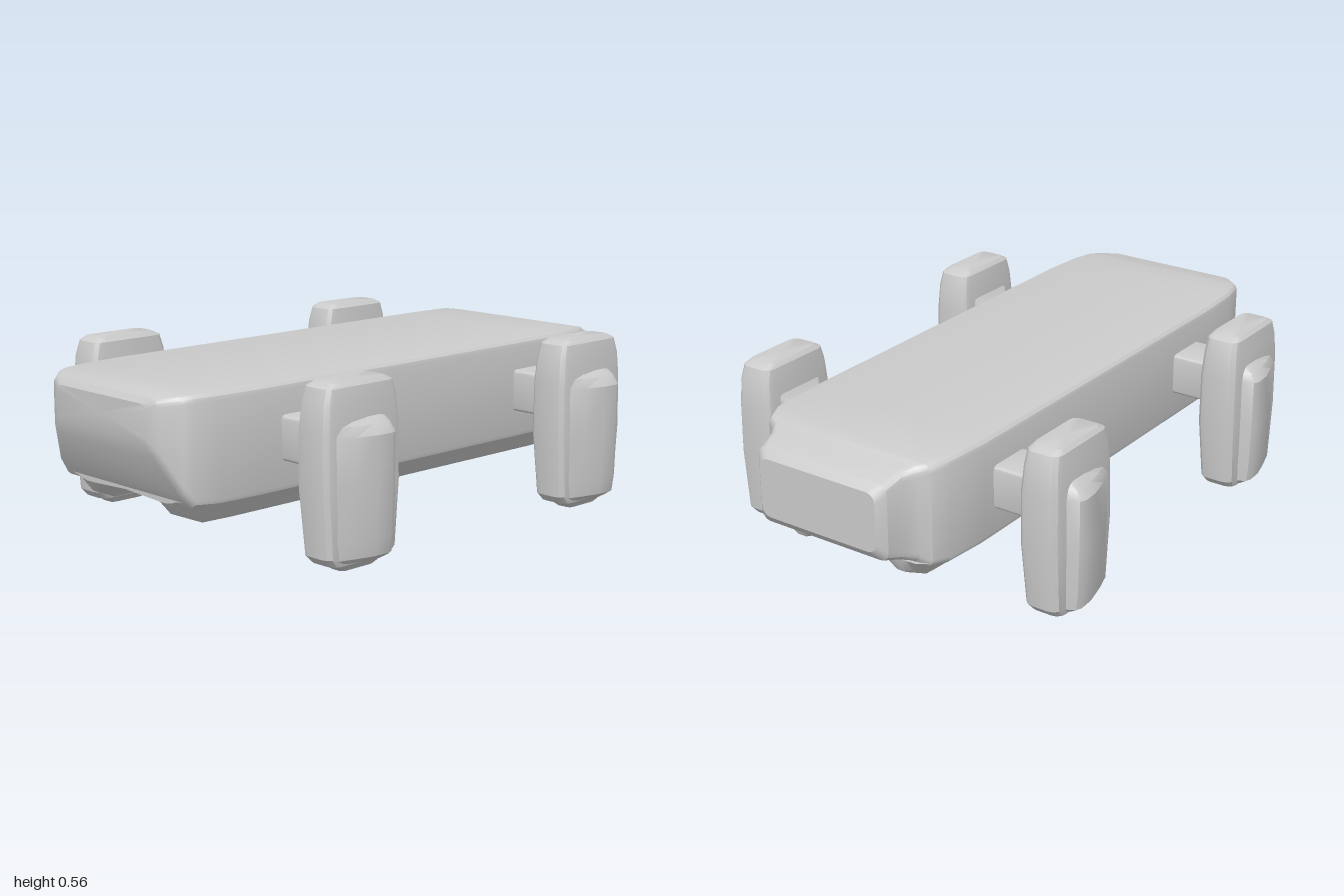
import * as THREE from 'three';
import { toCreasedNormals } from 'three/addons/utils/BufferGeometryUtils.js';

const material = new THREE.MeshStandardMaterial({ color: 0xcccccc });

// Rounded rectangle outline as [u, v] points
function roundRect(u0, u1, v0, v1, r, n = 3) {
  const pts = [];
  const corners = [[u1 - r, v1 - r], [u0 + r, v1 - r], [u0 + r, v0 + r], [u1 - r, v0 + r]];
  corners.forEach(([cu, cv], k) => {
    for (let i = 0; i <= n; i++) {
      const a = (k + i / n) * Math.PI / 2;
      pts.push([cu + r * Math.cos(a), cv + r * Math.sin(a)]);
    }
  });
  return pts;
}

// Closed skin through rings of equal point count, faces turned outward
function loft(name, rings, crease = 0.5) {
  const tris = [];
  const n = rings[0].length;
  for (let k = 0; k + 1 < rings.length; k++) {
    for (let i = 0; i < n; i++) {
      const j = (i + 1) % n;
      const a = rings[k][i], b = rings[k][j], c = rings[k + 1][j], d = rings[k + 1][i];
      tris.push([a, b, c], [a, c, d]);
    }
  }
  const cap = (ring, flip) => {
    const mid = ring.reduce((s, p) => s.add(p), new THREE.Vector3()).divideScalar(n);
    ring.forEach((p, i) => {
      const q = ring[(i + 1) % n];
      tris.push(flip ? [mid, q, p] : [mid, p, q]);
    });
  };
  cap(rings[0], true);
  cap(rings[rings.length - 1], false);
  const cross = new THREE.Vector3();
  const volume = tris.reduce((s, [a, b, c]) => s + a.dot(cross.crossVectors(b, c)), 0);
  if (volume < 0) tris.forEach((t) => t.reverse());
  const geo = new THREE.BufferGeometry().setFromPoints(tris.flat());
  const mesh = new THREE.Mesh(toCreasedNormals(geo, crease), material);
  mesh.name = name;
  return mesh;
}

const V = (x, y, z) => new THREE.Vector3(x, y, z);

// Main hull: rounded sections along z [z, half width, bottom, top, radius]
function hull() {
  const sections = [
    [1.0, 0.215, 0.39, 0.5, 0.02],
    [0.985, 0.25, 0.345, 0.518, 0.025],
    [0.935, 0.3, 0.235, 0.526, 0.025],
    [0.905, 0.315, 0.195, 0.529, 0.025],
    [0.83, 0.33, 0.19, 0.53, 0.025],
    [0.68, 0.34, 0.19, 0.53, 0.025],
    [-0.65, 0.34, 0.19, 0.53, 0.025],
    [-0.8, 0.328, 0.19, 0.53, 0.025],
    [-0.855, 0.305, 0.195, 0.522, 0.025],
    [-0.875, 0.275, 0.21, 0.515, 0.03],
    [-0.915, 0.25, 0.225, 0.508, 0.03],
    [-0.975, 0.24, 0.245, 0.488, 0.03],
    [-1.0, 0.215, 0.275, 0.465, 0.03],
  ];
  return loft('hull', sections.map(([z, w, y0, y1, r]) =>
    roundRect(-w, w, y0, y1, r).map(([x, y]) => V(x, y, z))));
}

// Underside with two lengthwise runners
function underside() {
  const half = [[0.33, 0.205], [0.29, 0.18], [0.265, 0.145], [0.235, 0.122], [0.2, 0.122],
    [0.16, 0.157], [0.12, 0.174], [0.05, 0.18]];
  const profile = [...half, ...half.map(([x, y]) => [-x, y]).reverse()];
  // [z, width factor, depth factor]
  const sections = [[0.915, 0.82, 0.2], [0.885, 0.87, 0.65], [0.81, 0.97, 1], [0.7, 1, 1],
    [-0.65, 1, 1], [-0.79, 0.97, 1], [-0.86, 0.88, 0.65], [-0.885, 0.8, 0.1]];
  return loft('undersideRunners', sections.map(([z, w, d]) =>
    profile.map(([x, y]) => V(x * w, 0.21 + (y - 0.21) * d, z))), 0.6);
}

// One wheel pod: side is +1 left or -1 right
function wheelPod(side, zc) {
  const group = new THREE.Group();

  // Axle flaring into the hub: [x, half height, half depth]
  const axle = [[0.3, 0.07, 0.08], [0.455, 0.07, 0.08], [0.47, 0.085, 0.09], [0.49, 0.12, 0.11]];
  group.add(loft('axle', axle.map(([x, h, d]) =>
    roundRect(0.36 - h, 0.36 + h, -d, d, 0.015).map(([y, z]) => V(side * x, y, z)))));

  // Upright slab: [y, inner x, outer x, half depth, radius]
  const slab = [
    [0.56, 0.495, 0.59, 0.11, 0.025],
    [0.547, 0.485, 0.6, 0.135, 0.03],
    [0.5, 0.48, 0.606, 0.15, 0.035],
    [0.42, 0.474, 0.61, 0.156, 0.035],
    [0.25, 0.474, 0.612, 0.157, 0.035],
    [0.05, 0.485, 0.61, 0.143, 0.035],
    [0.025, 0.492, 0.605, 0.12, 0.03],
    [0.015, 0.51, 0.592, 0.085, 0.02],
    [0, 0.52, 0.58, 0.065, 0.015],
  ];
  group.add(loft('wheelSlab', slab.map(([y, x0, x1, d, r]) =>
    roundRect(x0, x1, -d, d, r).map(([x, z]) => V(side * x, y, z)))));

  // Outer ridge, steep toward the rear: [y, bulge factor]
  const ridge = [[0.59, -0.105], [0.615, -0.1], [0.646, -0.085], [0.655, -0.065],
    [0.652, -0.01], [0.632, 0.06], [0.612, 0.115], [0.59, 0.125]];
  const levels = [[0.455, 0.25], [0.435, 0.7], [0.405, 1], [0.25, 1], [0.1, 0.93],
    [0.045, 0.82], [0.028, 0.4]];
  group.add(loft('outerRidge', levels.map(([y, k]) =>
    ridge.map(([x, z]) => V(side * (0.59 + (x - 0.59) * k), y, z * (0.75 + 0.25 * k))))));

  group.position.z = zc;
  return group;
}

export function createModel() {
  const model = new THREE.Group();
  model.name = 'vehicle';
  model.add(hull(), underside());
  for (const [end, z] of [['front', 0.515], ['rear', -0.522]]) {
    for (const [label, side] of [['Left', 1], ['Right', -1]]) {
      const pod = wheelPod(side, z);
      pod.name = `${end}${label}Wheel`;
      model.add(pod);
    }
  }
  return model;
}
